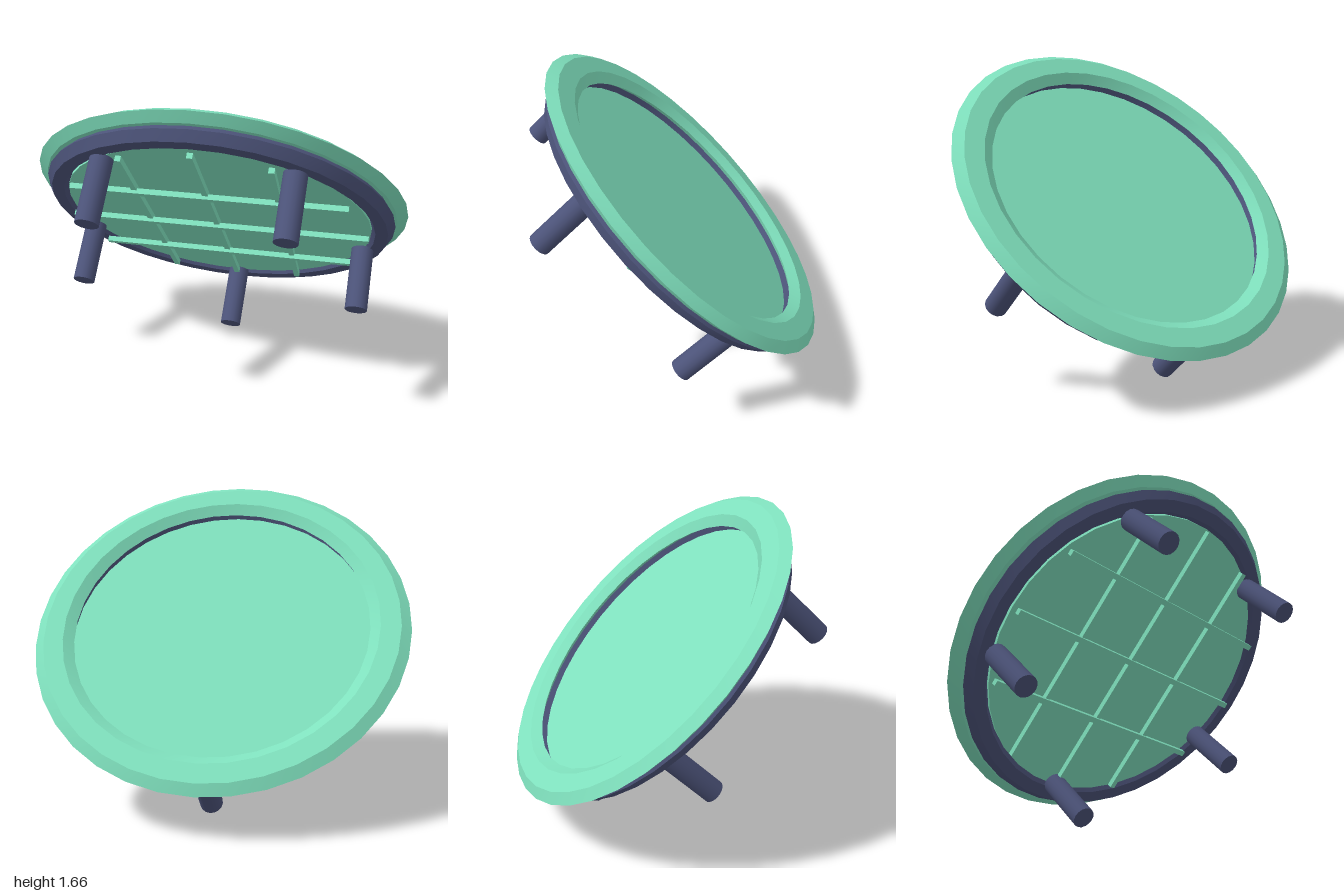
import * as THREE from 'three';
import { toCreasedNormals } from 'three/addons/utils/BufferGeometryUtils.js';

const mint = new THREE.MeshStandardMaterial({ color: 0x7fe0bd });
mint.name = 'mint';
const navy = new THREE.MeshStandardMaterial({ color: 0x4c5379 });
navy.name = 'navy';

// Ring with a six-sided cross-section, squashed in height
function hexRing(radius, tube, height) {
  const g = new THREE.TorusGeometry(radius, tube, 6, 36);
  g.rotateX(Math.PI / 2);
  g.scale(1, height / (tube * Math.sin(Math.PI / 3)), 1);
  return toCreasedNormals(g, 0.4);
}

export function createModel() {
  const model = new THREE.Group();
  model.name = 'trampoline';

  // Everything is built flat, then tilted as one piece
  const body = new THREE.Group();
  body.name = 'tiltedBody';
  body.rotation.set(-Math.PI / 4, THREE.MathUtils.degToRad(9), 0, 'YXZ');
  body.position.set(0, 0.947, -0.082);
  model.add(body);

  function add(name, geometry, material, x = 0, y = 0, z = 0) {
    const mesh = new THREE.Mesh(geometry, material);
    mesh.name = name;
    mesh.position.set(x, y, z);
    body.add(mesh);
    return mesh;
  }

  // Padded rim, supporting ring and bouncing mat
  add('rimPad', hexRing(0.9, 0.106, 0.038), mint);
  add('frameRing', hexRing(0.88, 0.066, 0.052), navy, 0, -0.063, 0);
  add('mat', new THREE.CylinderGeometry(0.825, 0.825, 0.042, 36), mint, 0, -0.079, 0);

  // Grid of straps under the mat, each cut to its chord
  for (const offset of [-0.375, 0, 0.375]) {
    const length = 2 * Math.sqrt(0.815 ** 2 - offset ** 2);
    add('crossStrap', new THREE.BoxGeometry(length, 0.03, 0.03), mint, 0, -0.15, offset);
    add('longStrap', new THREE.BoxGeometry(0.03, 0.03, length), mint, offset, -0.132, 0);
  }

  // Five legs evenly spaced around the ring
  const legGeometry = new THREE.CylinderGeometry(0.06, 0.06, 0.35, 16);
  for (let i = 0; i < 5; i++) {
    const a = -Math.PI / 2 + (i * Math.PI * 2) / 5;
    add('leg', legGeometry, navy, Math.cos(a) * 0.815, -0.285, Math.sin(a) * 0.815);
  }

  return model;
}
